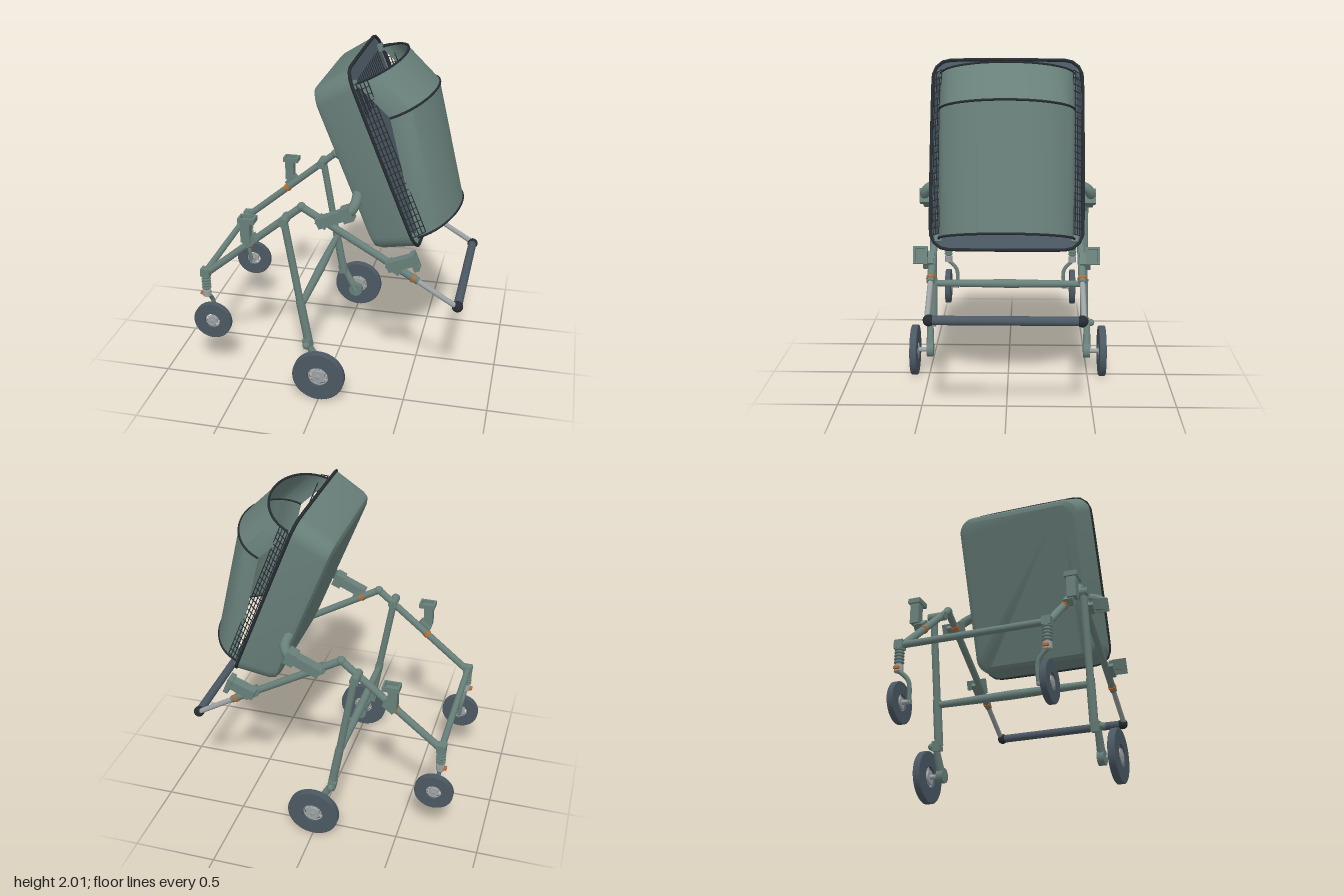
import * as THREE from 'three';
import { toCreasedNormals, mergeGeometries } from 'three/addons/utils/BufferGeometryUtils.js';

const V = (x, y, z) => new THREE.Vector3(x, y, z);

export function createModel() {
  const mat = (name, color, side = THREE.FrontSide) => {
    const m = new THREE.MeshStandardMaterial({ color, side });
    m.name = name;
    return m;
  };
  const green = mat('greyGreen', 0x69807a, THREE.DoubleSide);
  const slate = mat('slate', 0x4b5863, THREE.DoubleSide);
  const dark = mat('charcoal', 0x262d32);
  const metal = mat('metal', 0x9ca1a3);
  const orange = mat('orange', 0xc06a28);

  const model = new THREE.Group();
  const add = (name, geo, m, parent = model) => {
    const mesh = new THREE.Mesh(geo, m);
    mesh.name = name;
    parent.add(mesh);
    return mesh;
  };
  // round bar between two points
  const bar = (name, p, q, r, m, r2 = r, parent = model) => {
    const d = q.clone().sub(p);
    const mesh = add(name, new THREE.CylinderGeometry(r2, r, d.length(), 16), m, parent);
    mesh.position.copy(p).addScaledVector(d, 0.5);
    mesh.quaternion.setFromUnitVectors(V(0, 1, 0), d.normalize());
    return mesh;
  };
  const ball = (name, p, r, m) => add(name, new THREE.SphereGeometry(r, 16, 12), m).position.copy(p);
  const box = (name, p, size, m, tilt = 0, parent = model) => {
    const b = add(name, new THREE.BoxGeometry(...size), m, parent);
    b.position.copy(p);
    b.rotation.z = tilt;
    return b;
  };
  // rounded rectangle loop in the y-z plane
  const loop = (x, hy, hz, r) => {
    const pts = [];
    [[1, 1], [-1, 1], [-1, -1], [1, -1]].forEach(([sy, sz], c) => {
      for (let i = 0; i <= 7; i++) {
        const a = (c + i / 7) * Math.PI / 2;
        pts.push(V(x, sy * (hy - r) + r * Math.cos(a), sz * (hz - r) + r * Math.sin(a)));
      }
    });
    return pts;
  };
  // surface through rows of points
  const loft = (rows, closed, cap) => {
    const n = rows[0].length, pos = rows.flat().flatMap(p => p.toArray()), idx = [];
    for (let i = 0; i < rows.length - 1; i++)
      for (let j = 0; j < (closed ? n : n - 1); j++) {
        const k = (j + 1) % n, a = i * n + j, b = i * n + k, c = a + n, d = b + n;
        idx.push(a, c, b, b, c, d);
      }
    if (cap) {
      const o = (rows.length - 1) * n;
      for (let j = 1; j < n - 1; j++) idx.push(o, o + j + 1, o + j);
    }
    const g = new THREE.BufferGeometry();
    g.setAttribute('position', new THREE.Float32BufferAttribute(pos, 3));
    g.setIndex(idx);
    return toCreasedNormals(g, 0.4);
  };
  const edge = (name, pts, r, closed, parent) => add(name, new THREE.TubeGeometry(
    new THREE.CatmullRomCurve3(pts, closed), 80, r, 6, closed), dark, parent);

  // ---- carrier, in its own tilted frame: x outward, y along the back ----
  const carrier = new THREE.Group();
  carrier.name = 'carrier';
  carrier.position.set(0.335, 1.48, 0);
  carrier.rotation.z = 0.382;
  model.add(carrier);
  add('tub', loft([loop(0, 0.55, 0.43, 0.1), loop(-0.2, 0.515, 0.415, 0.1),
    loop(-0.235, 0.5, 0.4, 0.09), loop(-0.247, 0.475, 0.375, 0.08)], true, true), green, carrier);
  edge('tubRim', loop(0, 0.55, 0.43, 0.1), 0.01, true, carrier);
  const panel = new THREE.Shape(loop(0, 0.548, 0.428, 0.1).map(p => new THREE.Vector2(p.z, p.y)));
  const liner = add('liner', new THREE.ShapeGeometry(panel).rotateY(Math.PI / 2), slate, carrier);
  liner.position.x = -0.015;
  for (let i = -8; i <= 8; i++)
    box('linerSlit', V(-0.012, 0.36, i * 0.042), [0.005, 0.2, 0.005], dark, 0, carrier);

  // arched hood: height, edge offset, bulge
  const arch = (y, x0, depth) => Array.from({ length: 33 }, (_, i) => {
    const a = (i / 32 - 0.5) * Math.PI;
    return V(x0 + depth * Math.cos(a), y, 0.38 * Math.sin(a));
  });
  const rows = [arch(0.465, 0.01, 0.235), arch(0.225, 0.12, 0.23), arch(-0.49, 0.02, 0.222)];
  add('hood', loft(rows, false, false), green, carrier);
  rows.forEach((r, i) => edge(['hoodTopHem', 'hoodSeam', 'hoodBottomHem'][i], r, 0.007, false, carrier));

  // side ventilation screens
  for (const s of [1, -1]) {
    const wires = [];
    for (let k = 0; k <= 4; k++)
      wires.push(new THREE.BoxGeometry(0.005, 0.94, 0.005)
        .translate(k * 0.019, 0, s * (0.42 - k * 0.011)));
    for (let k = 0; k <= 24; k++)
      wires.push(new THREE.BoxGeometry(0.088, 0.004, 0.004)
        .rotateY(s * 0.53).translate(0.038, (k / 24 - 0.5) * 0.94, s * 0.398));
    add('screen', mergeGeometries(wires), dark, carrier);
    box('hoodHinge', V(0.005, 0.465, s * 0.385), [0.03, 0.04, 0.04], green, 0, carrier);
    box('hoodHinge', V(0.005, -0.485, s * 0.385), [0.03, 0.04, 0.04], green, 0, carrier);
  }

  // ---- wheels ----
  const wheel = (name, c, r, w) => {
    const g = new THREE.Group();
    g.name = name;
    g.position.copy(c);
    model.add(g);
    const ri = r * 0.4, h = w / 2;
    const prof = [[ri, -h], [r * 0.97, -h], [r, -h * 0.8], [r, h * 0.8], [r * 0.97, h], [ri, h], [ri, -h]]
      .map(p => new THREE.Vector2(...p));
    add('tyre', toCreasedNormals(new THREE.LatheGeometry(prof, 48).rotateX(Math.PI / 2), 0.5), slate, g);
    add('hub', new THREE.CylinderGeometry(r * 0.25, r * 0.25, w, 20).rotateX(Math.PI / 2), metal, g);
    add('hubCap', new THREE.SphereGeometry(r * 0.2, 16, 10), metal, g).scale.z = (w * 0.6) / (r * 0.2);
    add('wheelRim', new THREE.TorusGeometry(ri, r * 0.04, 6, 32), metal, g);
    for (let i = 0; i < 6; i++) {
      const a = i * Math.PI / 3 + 0.5, u = V(Math.cos(a), Math.sin(a), 0);
      bar('spoke', u.clone().multiplyScalar(r * 0.2), u.multiplyScalar(ri), r * 0.05, metal, r * 0.05, g);
    }
  };
  // open square cup, y is its axis
  const cup = (name, p, w, h, d, tilt) => {
    const g = new THREE.Group();
    g.name = name;
    g.position.copy(p);
    g.rotation.z = tilt;
    model.add(g);
    for (const e of [1, -1]) {
      box('cupWall', V(e * (w / 2 - 0.006), 0, 0), [0.012, h, d], green, 0, g);
      box('cupWall', V(0, 0, e * (d / 2 - 0.006)), [w, h, 0.012], green, 0, g);
    }
    box('cupFloor', V(0, -h / 2 + 0.004, 0), [w, 0.008, d], green, 0, g);
  };

  // ---- frame, one side at a time ----
  for (const s of [1, -1]) {
    const P = (x, y, z) => V(x, y, z * s);
    // handle arm
    bar('handleArm', P(-0.13, 1.18, 0.43), P(0.555, 0.78, 0.43), 0.022, green);
    bar('armExtension', P(0.54, 0.787, 0.43), P(0.775, 0.645, 0.43), 0.016, metal);
    ball('handleEnd', P(0.787, 0.635, 0.42), 0.033, dark);
    bar('armCollar', P(-0.03, 1.122, 0.43), P(-0.012, 1.111, 0.43), 0.026, orange);
    bar('armCollar', P(0.52, 0.80, 0.43), P(0.532, 0.793, 0.43), 0.026, orange);
    // front strut
    bar('frontStrut', P(-0.72, 0.69, 0.43), P(-0.13, 1.18, 0.43), 0.022, green);
    bar('strutCollar', P(-0.462, 0.904, 0.43), P(-0.446, 0.917, 0.43), 0.026, orange);
    ball('apexJoint', P(-0.13, 1.18, 0.43), 0.027, green);
    // main leg
    bar('legPivot', P(-0.225, 1.1, 0.4), P(-0.225, 1.1, 0.51), 0.027, green);
    bar('legUpper', P(-0.222, 1.1, 0.48), P(-0.13, 0.56, 0.48), 0.022, green);
    bar('legLower', P(-0.135, 0.59, 0.48), P(-0.087, 0.32, 0.48), 0.026, green);
    box('legKnuckle', P(-0.09, 0.315, 0.49), [0.05, 0.06, 0.05], green, 0.2);
    ball('legKnob', P(-0.09, 0.315, 0.525), 0.022, green);
    bar('axleLink', P(-0.085, 0.31, 0.5), P(0, 0.15, 0.495), 0.02, green, 0.026);
    bar('axleBoss', P(0, 0.16, 0.475), P(0, 0.16, 0.515), 0.045, green);
    bar('axle', P(0, 0.16, 0.48), P(0, 0.16, 0.6), 0.014, metal);
    wheel('mainWheel', P(0, 0.16, 0.59), 0.158, 0.043);
    // caster with spring
    box('casterHead', P(-0.735, 0.69, 0.43), [0.055, 0.05, 0.05], green);
    bar('springCore', P(-0.735, 0.55, 0.43), P(-0.735, 0.67, 0.43), 0.016, green);
    for (let k = 0; k < 5; k++)
      add('springCoil', new THREE.TorusGeometry(0.022, 0.007, 6, 20).rotateX(Math.PI / 2), green)
        .position.copy(P(-0.735, 0.585 + k * 0.019, 0.43));
    bar('casterCup', P(-0.735, 0.53, 0.43), P(-0.735, 0.57, 0.43), 0.026, metal);
    box('casterLever', P(-0.755, 0.545, 0.43), [0.035, 0.014, 0.03], orange);
    const fork = new THREE.CatmullRomCurve3([P(-0.732, 0.535, 0.43), P(-0.728, 0.51, 0.4),
      P(-0.722, 0.47, 0.372), P(-0.705, 0.35, 0.37)]);
    add('casterFork', new THREE.TubeGeometry(fork, 20, 0.013, 8), green);
    bar('casterAxle', P(-0.705, 0.36, 0.36), P(-0.705, 0.36, 0.44), 0.014, metal);
    wheel('casterWheel', P(-0.705, 0.36, 0.43), 0.118, 0.036);
    // accessory holder on the strut
    cup('holderCup', P(-0.44, 1.095, 0.485), 0.1, 0.03, 0.075, 0);
    box('holderPost', P(-0.45, 1.02, 0.485), [0.055, 0.13, 0.055], green);
    box('holderFoot', P(-0.43, 0.95, 0.46), [0.08, 0.045, 0.06], green, 0.69);
    // upper carrier mount
    box('mountBlock', P(0.07, 1.155, 0.485), [0.2, 0.06, 0.06], green, 0.42);
    box('mountPlate', P(0.15, 1.19, 0.485), [0.06, 0.085, 0.075], green, 0.42);
    const elbow = new THREE.CatmullRomCurve3([P(0.14, 1.18, 0.49), P(0.175, 1.215, 0.49),
      P(0.193, 1.25, 0.465), P(0.19, 1.275, 0.4)]);
    add('mountElbow', new THREE.TubeGeometry(elbow, 16, 0.03, 12), green);
    box('mountClamp', P(0.0, 1.11, 0.45), [0.07, 0.05, 0.06], green, -0.53);
    // lower carrier mount
    box('lowerMount', P(0.46, 0.915, 0.485), [0.16, 0.06, 0.06], green, 0.38);
    cup('lowerMountCup', P(0.54, 0.935, 0.485), 0.1, 0.03, 0.08, 0.38 - Math.PI / 2);
    box('lowerMountClamp', P(0.42, 0.87, 0.45), [0.09, 0.05, 0.06], green, -0.53);
  }

  // ---- cross members ----
  bar('handleGrip', V(0.787, 0.635, -0.42), V(0.787, 0.635, 0.42), 0.026, slate);
  bar('frontCrossbar', V(-0.735, 0.69, -0.43), V(-0.735, 0.69, 0.43), 0.02, green);
  bar('legCrossbar', V(-0.13, 0.56, -0.48), V(-0.13, 0.56, 0), 0.02, green, 0.028);
  bar('legCrossbar', V(-0.13, 0.56, 0), V(-0.13, 0.56, 0.48), 0.028, green, 0.02);
  return model;
}
